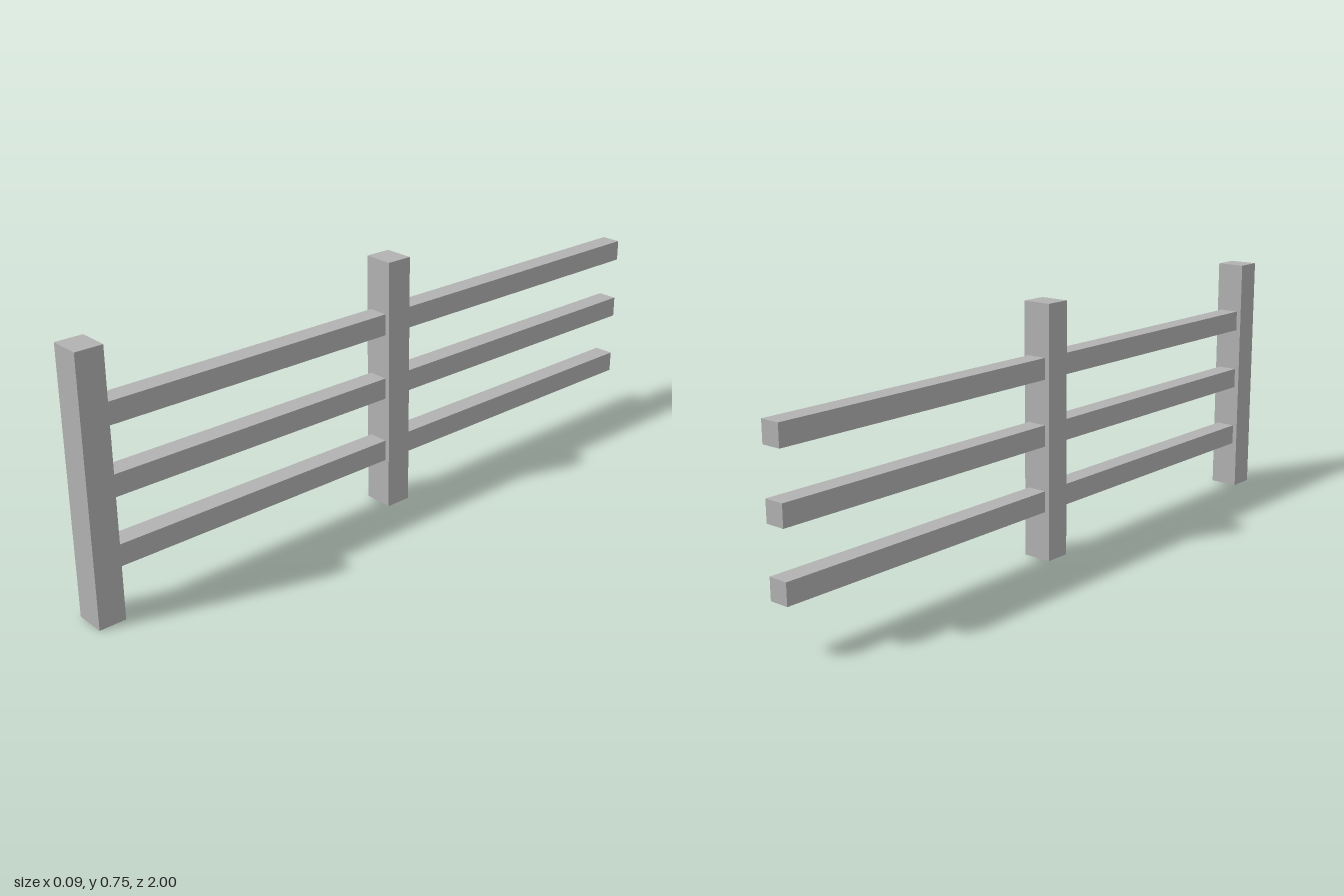
import * as THREE from 'three';

export function createModel() {
  const model = new THREE.Group();
  model.name = 'fence';
  const grey = new THREE.MeshStandardMaterial({ color: 0xb2b2b2 });
  grey.name = 'grey';

  const addBox = (name, w, h, d, y, z) => {
    const mesh = new THREE.Mesh(new THREE.BoxGeometry(w, h, d), grey);
    mesh.name = name;
    mesh.position.set(0, y, z);
    model.add(mesh);
  };

  // Upright posts: one at the front end, one in the middle
  const postHeight = 0.747, postDepth = 0.078;
  const frontZ = 1 - postDepth / 2, middleZ = -0.0195;
  addBox('frontPost', 0.089, postHeight, postDepth, postHeight / 2, frontZ);
  addBox('middlePost', 0.089, postHeight, postDepth, postHeight / 2, middleZ);

  // Three rails in two bays; the rear bay ends open
  const bays = [['front', frontZ, middleZ], ['rear', middleZ, -1]];
  [['Lower', 0.176], ['Middle', 0.37], ['Upper', 0.563]].forEach(([level, y]) => {
    for (const [bay, z0, z1] of bays) {
      addBox(`${bay}${level}Rail`, 0.06, 0.062, z0 - z1, y, (z0 + z1) / 2);
    }
  });
  return model;
}
